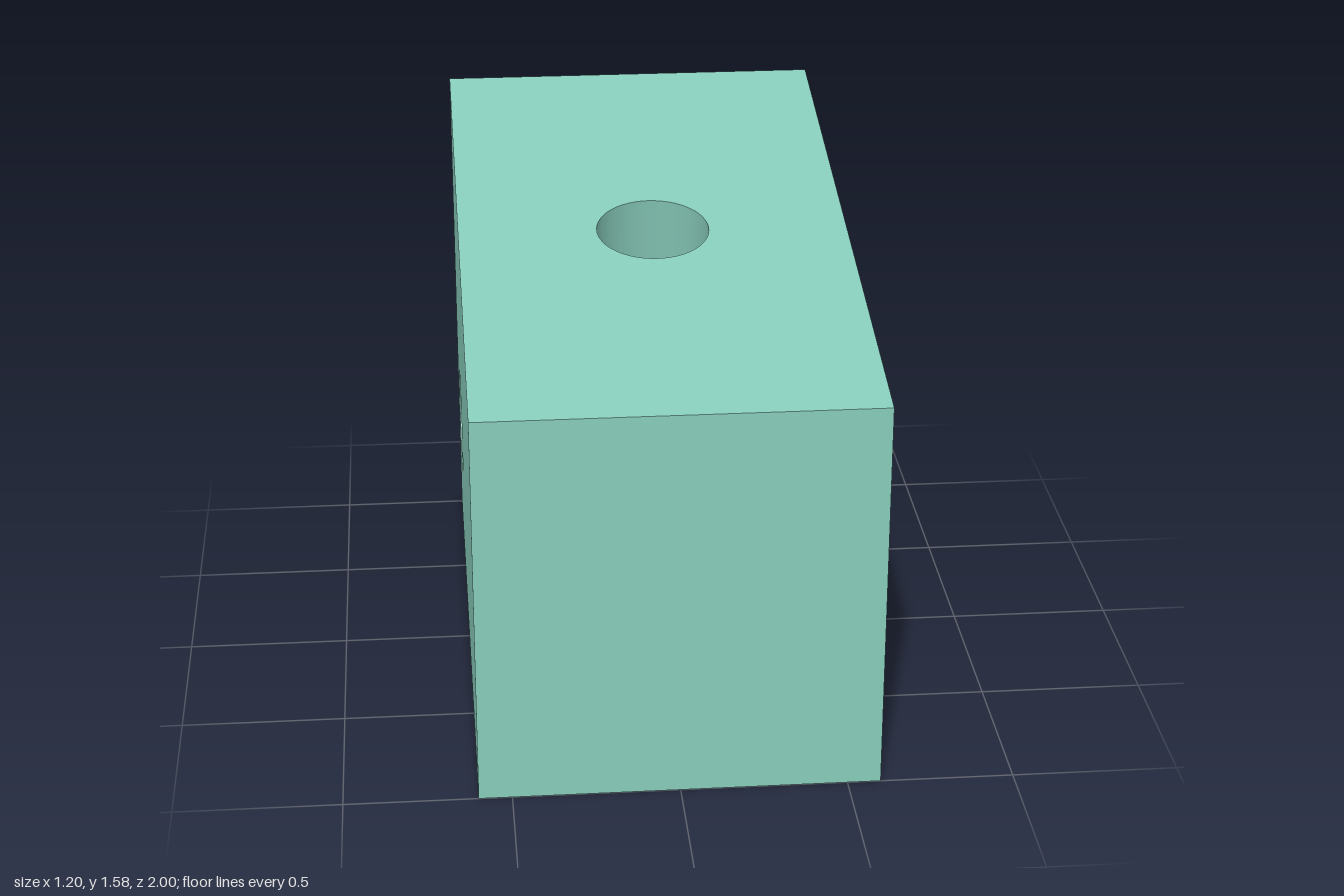
import * as THREE from 'three';

const TILT = THREE.MathUtils.degToRad(10);
const COS = Math.cos(TILT), SIN = Math.sin(TILT), TAN = Math.tan(TILT);
const W = 1.2, MID = 1.4;                     // block width, height at the middle
const FRONT = MID - TAN, BACK = MID + TAN;    // heights of the front and back walls
const R = 0.173;                              // radius of both bores
const ROOF = -0.317, FLOOR = -0.597;          // nut slot, measured down from the sloped top
const HOLE = { y: 0.5, z: -0.6 };             // cross hole centre
const SEG = 64;

// Half outline of the nut slot (x, z): flared mouth, straight channel, hexagon point
const SLOT = [[0.6, 0.3325], [0.434, 0.292], [-0.169, 0.292], [-0.337, 0]];

export function createModel() {
  const model = new THREE.Group();
  model.name = 'wedgeBlock';
  const skin = new THREE.MeshStandardMaterial({ color: 0x88ccbb });
  const inner = new THREE.MeshStandardMaterial({ color: 0x88ccbb, side: THREE.BackSide });

  // Group leaning with the sloped top; its origin is the middle of that face
  const tilted = new THREE.Group();
  tilted.name = 'tiltedParts';
  tilted.position.y = MID;
  tilted.rotation.x = TILT;
  model.add(tilted);

  const add = (parent, name, geometry, material = skin) => {
    const mesh = new THREE.Mesh(geometry, material);
    mesh.name = name;
    parent.add(mesh);
    return mesh;
  };
  const polygon = (points) => new THREE.Shape(points.map(([x, y]) => new THREE.Vector2(x, y)));
  const round = (x, y, rx, ry = rx) =>
    new THREE.Path().absellipse(x, y, rx, ry, 0, Math.PI * 2, true, 0);
  const panel = (points, holes) => {
    const shape = polygon(points);
    shape.holes.push(...holes);
    return new THREE.ShapeGeometry(shape, SEG / 2);
  };
  const rect = (w, h) => [[-w, -h], [w, -h], [w, h], [-w, h]];

  // Front and back walls
  add(model, 'frontWall', new THREE.PlaneGeometry(W, FRONT)).position.set(0, FRONT / 2, 1);
  const back = add(model, 'backWall', new THREE.PlaneGeometry(W, BACK));
  back.position.set(0, BACK / 2, -1);
  back.rotation.y = Math.PI;

  // Left wall with the slot mouth and cross hole
  const mouth = [[ROOF, 1], [ROOF, -1], [FLOOR, -1], [FLOOR, 1]].map(([y, s]) => {
    const z = s * SLOT[0][1];
    return new THREE.Vector2(-(y * SIN + z * COS), MID + y * COS - z * SIN);
  });
  const left = panel([[-1, 0], [1, 0], [1, BACK], [-1, FRONT]],
    [new THREE.Path(mouth), round(-HOLE.z, HOLE.y, R)]);
  add(model, 'leftWall', left.rotateY(Math.PI / 2)).position.x = W / 2;

  // Right wall with the cross hole only
  const right = panel([[-1, 0], [1, 0], [1, FRONT], [-1, BACK]], [round(HOLE.z, HOLE.y, R)]);
  add(model, 'rightWall', right.rotateY(-Math.PI / 2)).position.x = -W / 2;

  // Base, where the leaning bore leaves an oval
  const base = panel(rect(W / 2, 1), [round(0, -MID * TAN, R, R / COS)]);
  add(model, 'base', base.rotateX(Math.PI / 2));

  // Sloped top
  const top = panel(rect(W / 2, 1 / COS), [round(0, 0, R)]);
  add(tilted, 'slopedTop', top.rotateX(-Math.PI / 2));

  // Cross hole lining
  const cross = new THREE.CylinderGeometry(R, R, W, SEG, 1, true).rotateZ(Math.PI / 2);
  add(model, 'crossHole', cross, inner).position.set(0, HOLE.y, HOLE.z);

  // Bolt bore above the slot
  const upper = new THREE.CylinderGeometry(R, R, -ROOF, SEG, 1, true);
  add(tilted, 'upperBore', upper, inner).position.y = ROOF / 2;

  // Bolt bore below the slot, its lower rim cut level with the base
  const lower = new THREE.CylinderGeometry(R, R, 1, SEG, 1, true);
  const pos = lower.attributes.position;
  for (let i = 0; i < pos.count; i++) {
    pos.setY(i, pos.getY(i) > 0 ? FLOOR : (pos.getZ(i) * SIN - MID) / COS);
  }
  add(tilted, 'lowerBore', lower, inner);

  // Nut slot: floor and ceiling pierced by the bore, then the side walls
  const outline = [...SLOT, ...SLOT.slice(0, -1).reverse().map(([x, z]) => [x, -z])];
  const slotPanel = () => panel(outline, [round(0, 0, R)]);
  add(tilted, 'slotFloor', slotPanel().rotateX(-Math.PI / 2)).position.y = FLOOR;
  add(tilted, 'slotCeiling', slotPanel().rotateX(Math.PI / 2)).position.y = ROOF;
  for (let i = 0; i < outline.length - 1; i++) {
    const [x0, z0] = outline[i], [x1, z1] = outline[i + 1];
    const length = Math.hypot(x1 - x0, z1 - z0);
    const wall = add(tilted, 'slotWall', new THREE.PlaneGeometry(length, ROOF - FLOOR));
    wall.position.set((x0 + x1) / 2, (ROOF + FLOOR) / 2, (z0 + z1) / 2);
    wall.rotation.y = Math.atan2(z0 - z1, x1 - x0);
  }
  return model;
}
